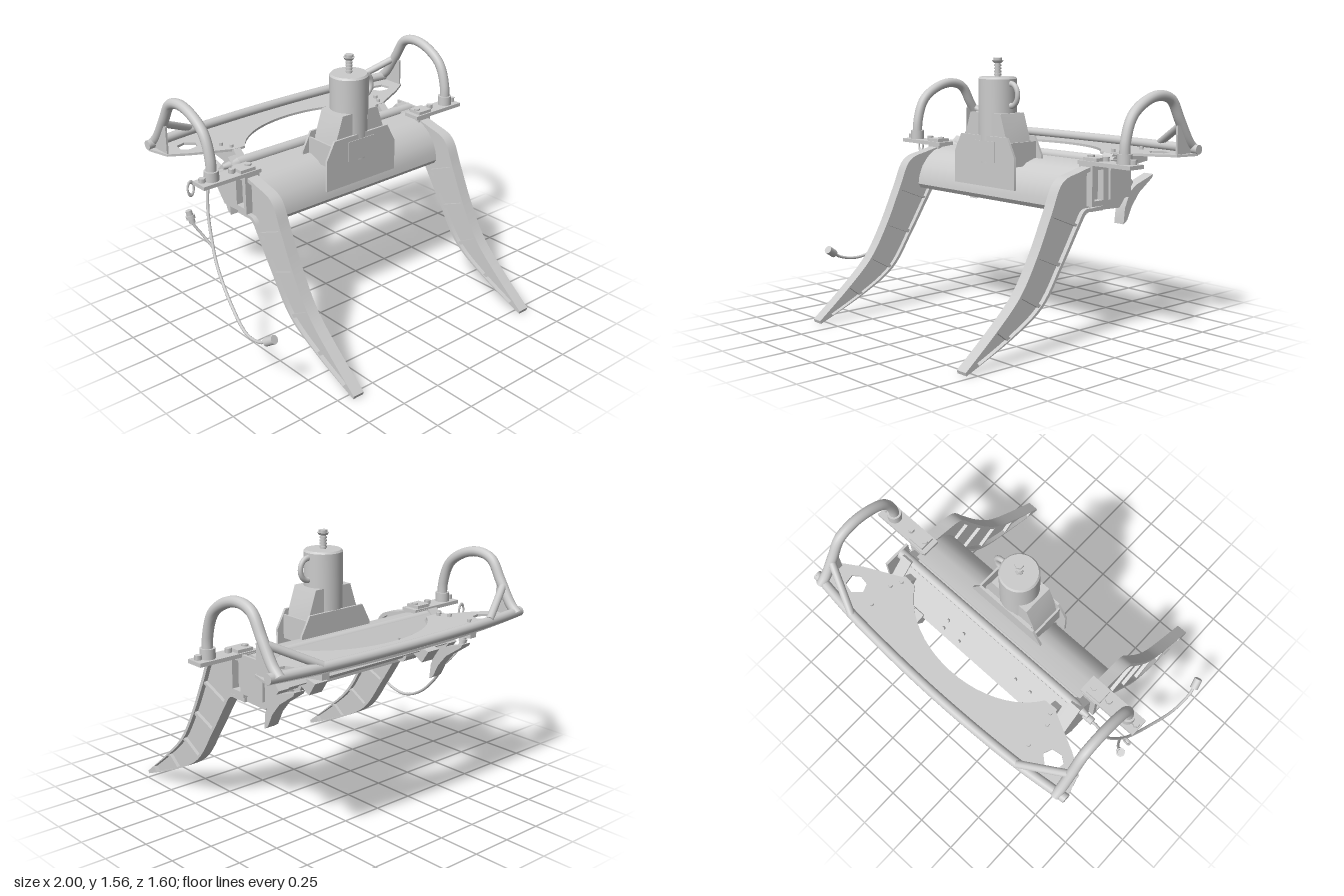
import * as THREE from 'three';
import { toCreasedNormals } from 'three/addons/utils/BufferGeometryUtils.js';

const mat = new THREE.MeshStandardMaterial({ color: 0xcccccc, side: THREE.DoubleSide });
const v2 = (p) => new THREE.Vector2(p[0], p[1]);
const v3 = (p) => new THREE.Vector3(p[0], p[1], p[2]);

function add(parent, name, geo, x = 0, y = 0, z = 0) {
  const m = new THREE.Mesh(geo, mat);
  m.name = name;
  m.position.set(x, y, z);
  parent.add(m);
  return m;
}
const box = (w, h, d) => new THREE.BoxGeometry(w, h, d);
const cyl = (r, h, n = 24, r2 = r) => new THREE.CylinderGeometry(r, r2, h, n);
const cylX = (r, h, n = 20, r2 = r) => cyl(r, h, n, r2).rotateZ(Math.PI / 2);
const tube = (pts, r, n = 48, sides = 14) =>
  new THREE.TubeGeometry(new THREE.CatmullRomCurve3(pts.map(v3)), n, r, sides);

function extrude(shape, depth) {
  const g = new THREE.ExtrudeGeometry(shape, { depth, bevelEnabled: false, curveSegments: 20 });
  return toCreasedNormals(g.translate(0, 0, -depth / 2), 0.6);
}
const poly = (pts) => new THREE.Shape(pts.map(v2));
// outline given as (z, y), thickness along x
const sidePlate = (pts, w) => extrude(poly(pts), w).rotateY(-Math.PI / 2);

// capped rod between two points
function rod(parent, name, a, b, r, n = 14) {
  const A = v3(a), B = v3(b), d = B.clone().sub(A);
  const m = add(parent, name, cyl(r, d.length(), n));
  m.position.copy(A).add(B).multiplyScalar(0.5);
  m.quaternion.setFromUnitVectors(new THREE.Vector3(0, 1, 0), d.normalize());
  return m;
}

// curved I-section leg: web, two flanges and cross ribs
function makeLeg() {
  const leg = new THREE.Group();
  leg.name = 'leg';
  const outer = new THREE.SplineCurve([[.8, .02], [.58, .2], [.42, .355], [.3, .55], [.2, .76], [.12, .92], [-.02, .97], [-.2, 1.01]].map(v2));
  const inner = new THREE.SplineCurve([[.795, .002], [.49, .13], [.26, .265], [.11, .47], [-.02, .67], [-.07, .735], [-.13, .74], [-.2, .74]].map(v2));
  const at = (t, k) => outer.getPoint(t).lerp(inner.getPoint(t), k).toArray();
  const band = (k0, k1, w) => {
    const a = [], b = [];
    for (let i = 0; i <= 42; i++) { a.push(at(i / 42, k0)); b.unshift(at(i / 42, k1)); }
    return sidePlate([...a, ...b], w);
  };
  add(leg, 'legWeb', band(0.02, 0.98, 0.016));
  add(leg, 'legOuterFlange', band(0, 0.09, 0.07));
  add(leg, 'legInnerFlange', band(0.91, 1, 0.07));
  for (const t of [1 / 7, 2 / 7, 3 / 7, 4 / 7]) {
    add(leg, 'legRib', sidePlate([at(t - .006, .05), at(t + .006, .05), at(t + .006, .95), at(t - .006, .95)], 0.058));
  }
  add(leg, 'legTip', sidePlate([at(0, 0), at(.05, 0), at(.05, 1), at(0, 1)], 0.07));
  // rectangular mounting frame at the top
  const frame = poly([[-.095, .77], [-.21, .77], [-.21, 1.01], [-.095, 1.01]]);
  frame.holes.push(new THREE.Path([[-.115, .8], [-.115, .97], [-.185, .97], [-.185, .8]].map(v2)));
  add(leg, 'mountFrame', extrude(frame, 0.1).rotateY(-Math.PI / 2));
  return leg;
}

export function createModel() {
  const root = new THREE.Group();
  const g = new THREE.Group();
  g.name = 'machine';
  g.position.x = 0.018;
  root.add(g);

  // trough-shaped main body
  add(g, 'body', sidePlate([[-.24, .74], [.035, .745], [.052, .77], [.045, .82], [.02, .88], [-.02, .93], [-.07, .97],
    [-.13, .99], [-.24, 1.0], [-.24, .975], [-.14, .965], [-.08, .945], [-.03, .9], [0, .85], [.015, .775], [-.24, .77]], 1.26));
  add(g, 'bodyRearWall', box(1.26, .24, .02), 0, .87, -.24);
  // sloping rear strip with bolts
  const strip = new THREE.Group();
  strip.name = 'rearStrip';
  strip.position.set(.01, .94, -.38);
  strip.rotation.x = -0.8;
  g.add(strip);
  add(strip, 'stripPlate', box(1.26, .014, .21));
  for (const x of [-.4, -.29, .11, .23]) {
    add(strip, 'stripBolt', cyl(.01, .02, 8), x, .012, 0);
    if (x > 0) add(strip, 'stripBolt', cyl(.01, .02, 8), x, .012, -.06);
  }
  // shafts
  add(g, 'upperShaft', cylX(.032, 1.34), .04, 1.0, -.285);
  add(g, 'shaftNeck', cylX(.014, .1, 16, .032), -.68, 1.0, -.285);
  add(g, 'lowerShaft', cylX(.03, 1.24), 0, .83, -.33);
  for (const x of [-.4, .4]) add(g, 'shaftCollar', cylX(.05, .1), x, .83, -.33);
  add(g, 'shaftEndPlate', box(.015, .22, .17), .72, .91, -.31);

  for (const s of [-1, 1]) {
    const leg = makeLeg();
    leg.position.x = s * .662;
    g.add(leg);

    // end housing and rear claw
    add(g, 'endHousing', sidePlate([[-.2, .96], [-.3, 1.045], [-.47, .87], [-.355, .735], [-.2, .74]], .07), s * .645);
    add(g, 'rearClaw', sidePlate([[-.37, .64], [-.38, .73], [-.42, .82], [-.47, .855], [-.62, .905], [-.61, .885], [-.5, .81],
      [-.44, .74], [-.4, .66]], .07), s * .63 + .035);
    add(g, 'clawBrace', sidePlate([[-.4, .84], [-.45, .89], [-.52, .875], [-.47, .8]], .09), s * .43);

    // arm carrying the rear deck
    add(g, 'deckArm', sidePlate([[-.34, 1.0], [-.38, 1.035], [-.7, 1.03], [-.7, .965], [-.62, .955], [-.46, .93], [-.4, .93]], .05), s * .56);

    // outrigger foot plate with bolts and sockets
    add(g, 'outrigger', box(.38, .022, .11), s * .79, 1.008, -.15);
    add(g, 'outriggerPad', box(.1, .035, .09), s * .68, 1.02, -.15);
    add(g, 'hoopSocket', cyl(.042, .06, 20), s * .893, 1.045, -.15);
    for (const x of [.65, .76, .955]) add(g, 'outriggerBolt', cyl(.02, .025, 6), s * x, 1.035, -.15);

    // guard hoop and its brace
    add(g, 'guardHoop', tube([[.893, 1.0, -.15], [.893, 1.14, -.155], [.893, 1.27, -.205], [.893, 1.345, -.31], [.893, 1.373, -.43],
      [.893, 1.345, -.53], [.893, 1.23, -.605], [.893, 1.1, -.69], [.893, 1.055, -.74]].map(([x, y, z]) => [s * x, y, z]), .03, 56));
    rod(g, 'hoopBrace', [s * .885, 1.2, -.63], [s * .63, 1.07, -.755], .022);
    add(g, 'hoopGusset', sidePlate([[-.575, 1.03], [-.575, 1.2], [-.6, 1.2], [-.71, 1.08], [-.71, 1.03]], .012), s * .9);
    for (const [x, z] of [[.6, -.63], [.6, -.48], [.57, -.42]]) add(g, 'deckBolt', cyl(.012, .02, 8), s * x, 1.045, z);
  }

  // rear deck, drawn as (x, -z)
  const deck = new THREE.Shape();
  deck.moveTo(-.945, .71);
  deck.quadraticCurveTo(0, .87, .945, .71);
  for (const p of [[.91, .57], [.8, .5], [.57, .385], [.5, .385]]) deck.lineTo(...p);
  deck.bezierCurveTo(.3, .69, -.3, .69, -.5, .385);
  for (const p of [[-.57, .385], [-.8, .5], [-.91, .57]]) deck.lineTo(...p);
  for (const s of [-1, 1]) {
    deck.holes.push(new THREE.Path([[.69, .61], [.71, .56], [.77, .55], [.81, .58], [.8, .64], [.74, .655]].map(([x, y]) => v2([s * x, y]))));
  }
  add(g, 'rearDeck', extrude(deck, .014).rotateX(-Math.PI / 2), 0, 1.03, 0);
  add(g, 'rearRail', tube([[-.945, 1.058, -.715], [-.6, 1.058, -.752], [0, 1.058, -.772], [.6, 1.058, -.752], [.945, 1.058, -.715]], .028));
  for (const s of [-1, 1]) add(g, 'railCap', cylX(.028, .01), s * .943, 1.058, -.715);

  // tower base: front and back plates with sloping cheeks
  const plate = poly([[-.26, .825], [.26, .825], [.26, 1.01], [.2, 1.12], [-.2, 1.12], [-.26, 1.01]]);
  add(g, 'towerFrontPlate', extrude(plate, .014), 0, 0, .058);
  add(g, 'towerBackPlate', extrude(poly([[-.26, .97], [.26, .97], [.26, 1.01], [.2, 1.12], [-.2, 1.12], [-.26, 1.01]]), .014), 0, 0, -.155);
  add(g, 'accessPanel', box(.2, .12, .006), 0, 1.03, .066);
  add(g, 'towerCore', box(.34, .14, .2), 0, 1.02, -.048);
  for (const s of [-1, 1]) {
    add(g, 'towerCheek', extrude(poly([[s * .05, .97], [s * .2, .97], [s * .175, 1.12], [s * .13, 1.25], [s * .06, 1.25]]), .185), 0, 0, -.04);
    add(g, 'towerSideWeb', box(.012, .14, .2), s * .21, 1.02, -.048);
  }

  // tower cylinder, lifting ring and top screw
  const profile = [[0, .96], [.113, .96], [.113, 1.445], [.104, 1.456], [0, 1.456]].map(v2);
  add(g, 'towerCylinder', toCreasedNormals(new THREE.LatheGeometry(profile, 40), .6), 0, 0, -.045);
  const ring = add(g, 'liftingRing', new THREE.TorusGeometry(.055, .015, 12, 28), .115, 1.355, -.045);
  ring.scale.y = 1.15;
  add(g, 'screwStem', cyl(.016, .1, 14), 0, 1.5, -.045);
  for (let i = 0; i < 4; i++) add(g, 'screwThread', cyl(.021, .01, 14), 0, 1.468 + i * .018, -.045);
  add(g, 'screwCollar', cyl(.034, .014, 18, .024), 0, 1.543, -.045);
  add(g, 'screwHead', cyl(.026, .018, 6), 0, 1.556, -.045);

  // hanging cable with two connectors and a clip
  const cable = new THREE.Group();
  cable.name = 'cable';
  root.add(cable);
  add(cable, 'mainLead', tube([[-.69, .97, -.285], [-.75, .965, -.285], [-.81, .92, -.28], [-.84, .8, -.26], [-.875, .62, -.18], [-.9, .5, -.1],
    [-.935, .35, .07], [-.975, .275, .26], [-.985, .295, .4], [-.977, .335, .46]], .009, 60, 8));
  rod(cable, 'leadConnector', [-.982, .32, .445], [-.968, .355, .5], .025, 14);
  add(cable, 'branchLead', tube([[-.88, .6, -.17], [-.905, .66, -.22], [-.945, .74, -.26], [-.952, .78, -.27]], .008, 20, 8));
  rod(cable, 'branchConnector', [-.945, .74, -.26], [-.958, .815, -.275], .018, 12);
  rod(cable, 'branchCollar', [-.95, .765, -.265], [-.953, .785, -.27], .026, 12);
  add(cable, 'cableGland', cylX(.022, .06, 14), -.715, .97, -.285);
  const clip = add(cable, 'hangingClip', new THREE.TorusGeometry(.02, .006, 8, 20), -.955, .96, -.24);
  clip.scale.y = 2;

  return root;
}
